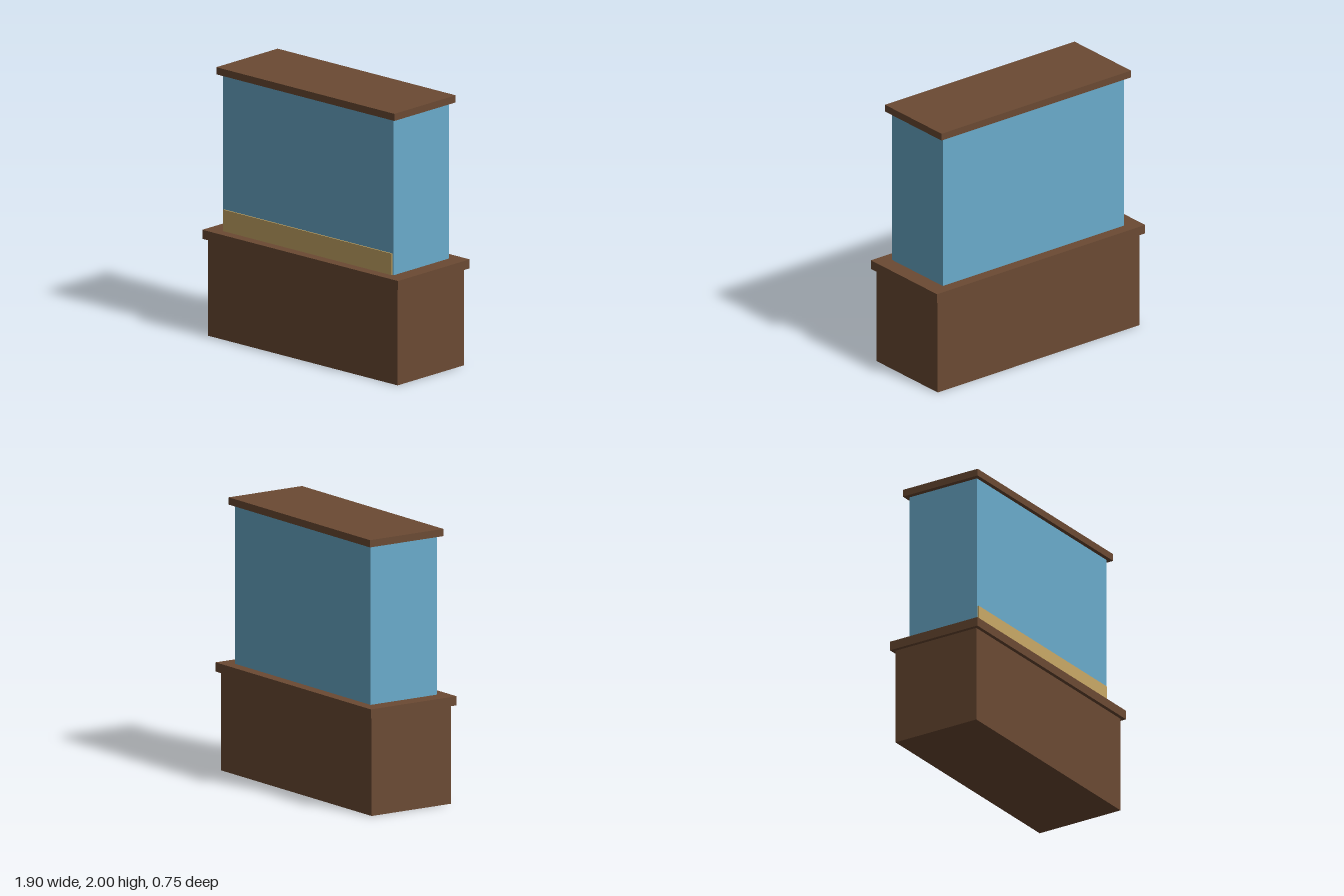
import * as THREE from 'three';

export function createModel() {
  const model = new THREE.Group();
  model.name = 'aquarium';

  const material = (name, color) => {
    const m = new THREE.MeshStandardMaterial({ color });
    m.name = name;
    return m;
  };
  const wood = material('brown wood', 0x6b4a33);
  const water = material('blue water', 0x6aabcb);
  const sand = material('sand', 0xc9a966);

  // Box given by width, depth, bottom and top heights, and centre z
  const box = (name, mat, width, depth, bottom, top, z = 0) => {
    const mesh = new THREE.Mesh(new THREE.BoxGeometry(width, top - bottom, depth), mat);
    mesh.position.set(0, (bottom + top) / 2, z);
    mesh.name = name;
    model.add(mesh);
  };

  // Stand
  box('cabinet', wood, 1.846, 0.694, 0, 0.72);
  box('cabinetTop', wood, 1.904, 0.75, 0.72, 0.787);

  // Tank with its lid
  box('tank', water, 1.66, 0.58, 0.787, 1.947);
  box('lid', wood, 1.734, 0.642, 1.947, 2);

  // Sand layer seen along the front pane
  box('sandStrip', sand, 1.64, 0.009, 0.787, 0.947, 0.2945);

  return model;
}
